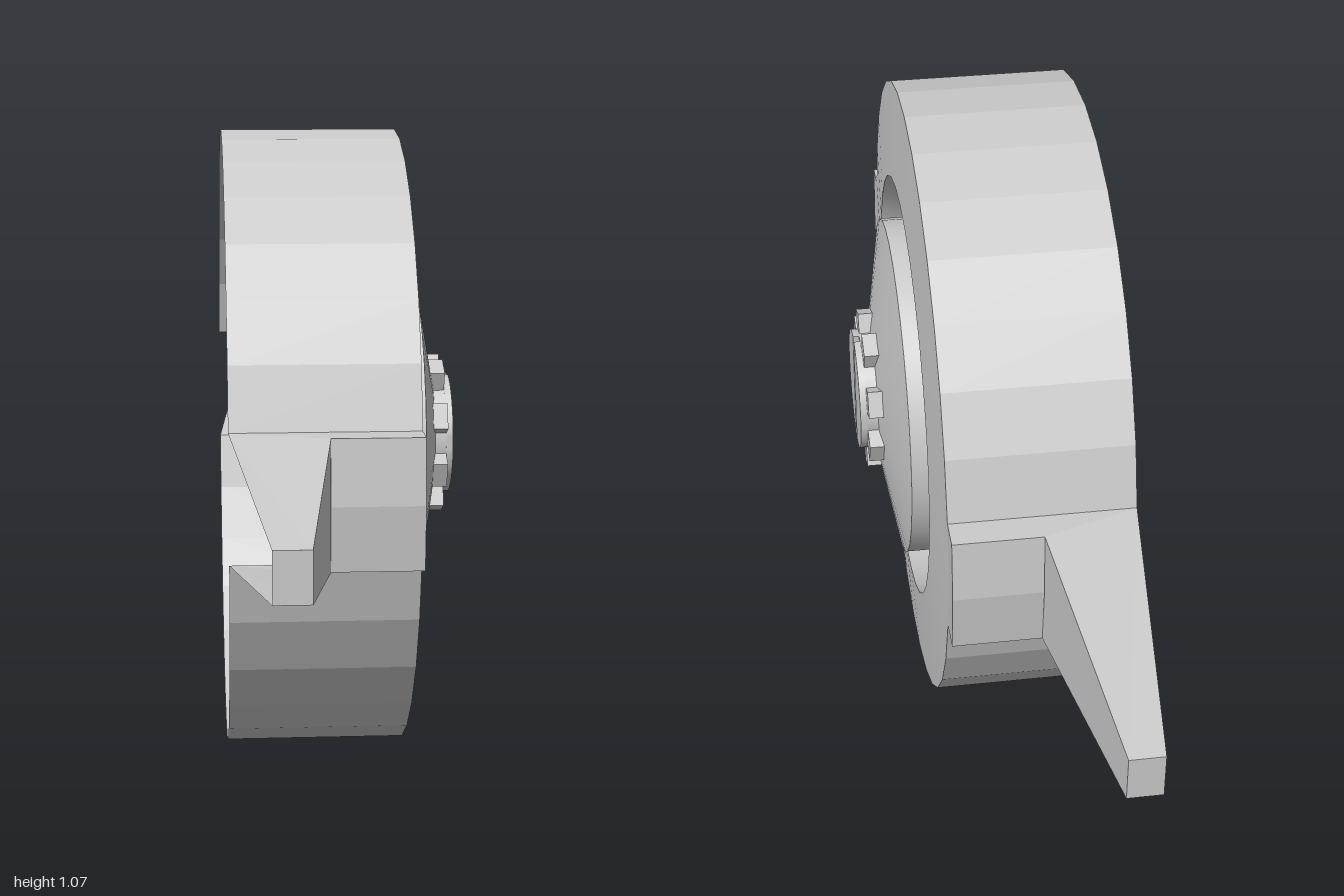
import * as THREE from 'three';
import { toCreasedNormals } from 'three/addons/utils/BufferGeometryUtils.js';

const R = 0.535;                       // drum radius
const STEP = Math.PI / 16;             // one of 32 drum facets
const H = R * Math.sin(STEP);          // half height of the wing opening
const ZIN = R * Math.cos(STEP);        // z of the opening's edge
const ZOUT = 0.576;                    // z of the lug cover's edge

const flat = new THREE.MeshStandardMaterial({ color: 0xcccccc, flatShading: true, side: THREE.DoubleSide });
const smooth = new THREE.MeshStandardMaterial({ color: 0xcccccc, side: THREE.DoubleSide });

function add(parent, name, geometry, material = flat) {
  const mesh = new THREE.Mesh(geometry, material);
  mesh.name = name;
  parent.add(mesh);
  return mesh;
}

// Lathe around the x axis; profile is a list of [radius, x]
function turned(profile, segments, start = 0, length = Math.PI * 2) {
  const points = profile.map(([r, x]) => new THREE.Vector2(r, x));
  return new THREE.LatheGeometry(points, segments, start, length).rotateZ(-Math.PI / 2);
}

// Convex polygons, each a loop of [x, y, z] corners, fanned into triangles
function panels(loops) {
  const pos = [];
  for (const p of loops)
    for (let i = 1; i < p.length - 1; i++) pos.push(...p[0], ...p[i], ...p[i + 1]);
  const g = new THREE.BufferGeometry();
  g.setAttribute('position', new THREE.Float32BufferAttribute(pos, 3));
  g.computeVertexNormals();
  return g;
}

// Hollow wing, open at the back, with the lug that joins it to the drum
function makeWing() {
  const wing = new THREE.Group();
  const side = s => [
    [-0.2, s * H, ZIN], [-0.045, s * H, ZIN], [-0.045, s * H, ZOUT],
    [-0.095, s * 0.038, 1], [-0.15, s * 0.038, 1],
  ];
  const t = side(1), b = side(-1);
  add(wing, 'wingBlade', panels([
    [t[0], t[4], t[3], t[2], t[1]],
    [b[0], b[1], b[2], b[3], b[4]],
    [t[2], t[3], b[3], b[2]],
    [t[3], t[4], b[4], b[3]],
  ]));

  const lugR = Math.hypot(H, ZOUT), half = Math.asin(H / lugR);
  add(wing, 'lugCover', turned([[lugR, -0.045], [lugR, 0.1]], 2, -half, half * 2));
  const cheeks = [];
  for (const s of [1, -1]) {
    const y = s * H;
    const wall = [[-0.045, y, ZIN], [-0.045, y, ZOUT], [0.1, y, ZOUT], [0.1, y, ZIN]];
    const front = [[0.1, 0, R], [0.1, y, ZIN], [0.1, y, ZOUT], [0.1, 0, lugR]];
    cheeks.push(s > 0 ? wall : wall.reverse(), s > 0 ? front : front.reverse());
  }
  add(wing, 'lugCheeks', panels(cheeks));
  return wing;
}

export function createModel() {
  const model = new THREE.Group();
  model.name = 'wingedHubCap';
  const cap = new THREE.Group();
  cap.name = 'cap';
  cap.position.y = R;
  model.add(cap);

  // Faceted drum wall in two arcs, leaving an opening for each wing
  for (const [name, start] of [['lowerDrumWall', 0], ['upperDrumWall', Math.PI]])
    add(cap, name, turned([[R, -0.2], [R, 0.1]], 14, start + STEP, STEP * 14));

  // Face ring, sunken groove and shallow conical dish
  const face = turned([[R, 0.1], [0.37, 0.11], [0.37, 0.07], [0.295, 0.07],
    [0.295, 0.13], [0.1, 0.166], [0, 0.17]].reverse(), 32);
  add(cap, 'facePlate', toCreasedNormals(face, 0.5), smooth);

  // Two wings, half a turn apart
  for (const [name, turn] of [['frontWing', 0], ['rearWing', Math.PI]]) {
    const wing = makeWing();
    wing.name = name;
    wing.rotation.x = turn;
    cap.add(wing);
  }

  // Slotted centre bolt: a base disc and two half discs
  const base = new THREE.CylinderGeometry(0.105, 0.105, 0.045, 32).rotateZ(-Math.PI / 2);
  add(cap, 'boltBase', toCreasedNormals(base, 0.5), smooth).position.x = 0.1625;
  const gap = 0.008, a = Math.asin(gap / 0.105);
  const halfDisc = new THREE.Shape().absarc(0, 0, 0.105, a, Math.PI - a, false);
  halfDisc.closePath();
  for (const turn of [0, Math.PI]) {
    const g = new THREE.ExtrudeGeometry(halfDisc, { depth: 0.012, bevelEnabled: false, curveSegments: 16 });
    g.rotateY(Math.PI / 2).rotateX(Math.PI / 2 + turn);
    add(cap, 'boltHalf', toCreasedNormals(g, 0.5), smooth).position.x = 0.184;
  }

  // Eight tabs around the bolt
  for (let i = 0; i < 8; i++) {
    const tab = new THREE.BoxGeometry(0.038, 0.04, 0.046).translate(0.165, 0.117, 0);
    add(cap, 'tab', tab).rotation.x = (i + 0.5) * Math.PI / 4;
  }
  return model;
}
